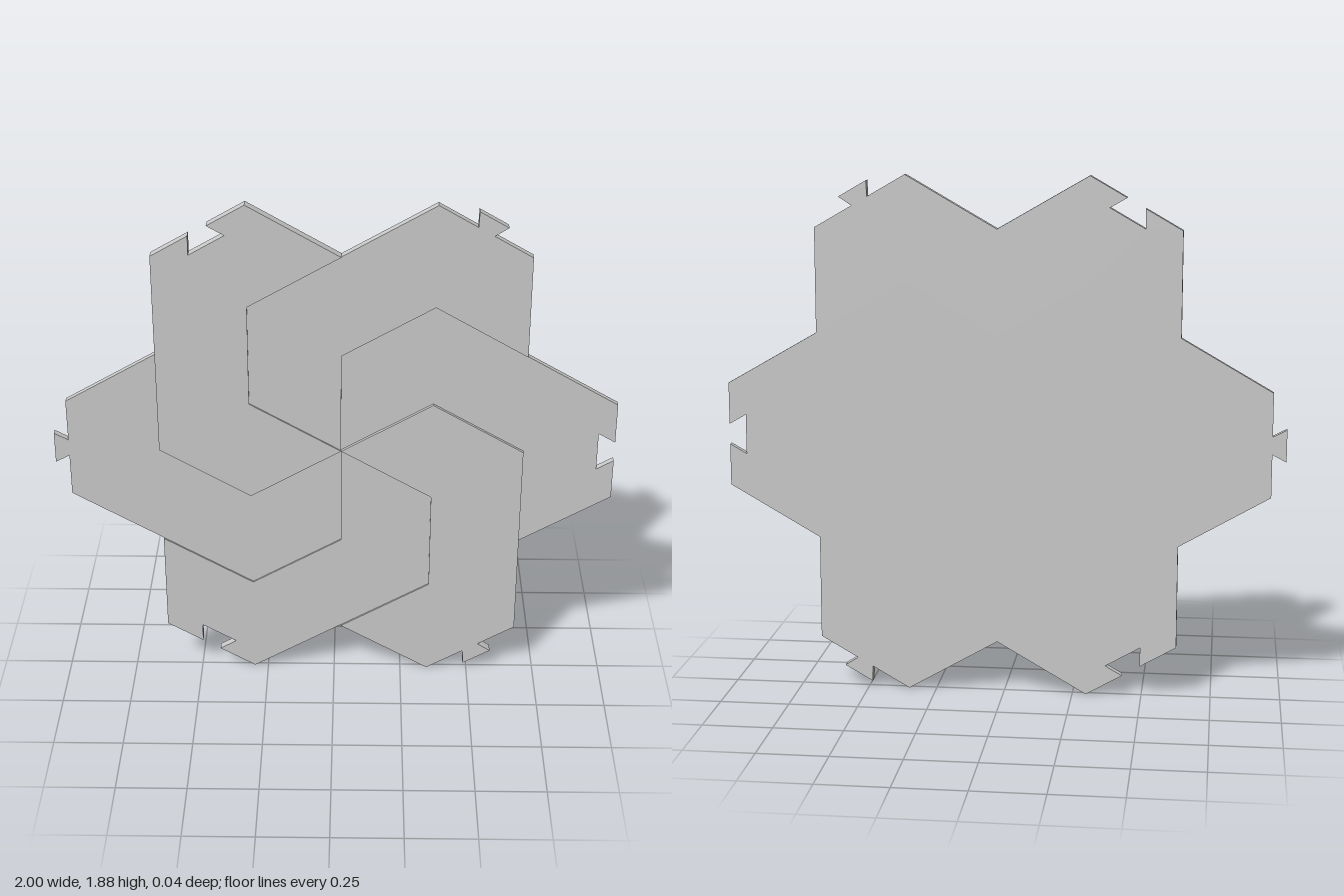
import * as THREE from 'three';

const S = 0.375;                       // hexagon side
const U = S * Math.sqrt(3) / 2;        // half hexagon width
const BACK = -0.019;                   // z of the flat back

// Bent arm whose outer end faces +x, ending in a dovetail socket or tab
function armShape(isTab) {
  const end = 3 * U;
  const [neck, wide, reach] = isTab ? [0.032, 0.058, 0.05] : [0.037, 0.072, -0.0605];
  const points = [
    [0, 0], [U, S / 2], [2 * U, 0], [2 * U, -S], [end, -S / 2],
    [end, -neck], [end + reach, -wide], [end + reach, wide], [end, neck],
    [end, S / 2], [U, 1.5 * S], [0, S],
  ];
  return new THREE.Shape(points.map(([x, y]) => new THREE.Vector2(x, y)));
}

export function createModel() {
  const model = new THREE.Group();
  model.name = 'interlockingTile';
  const material = new THREE.MeshStandardMaterial({ color: 0xcccccc, flatShading: true });
  const thickness = [0.025, 0.0315, 0.038];   // low, middle, high steps
  const names = ['rightArm', 'upperRightArm', 'upperLeftArm', 'leftArm', 'lowerLeftArm', 'lowerRightArm'];

  // Six arms swirl round the centre, rising in steps twice per turn
  names.forEach((name, i) => {
    const geometry = new THREE.ExtrudeGeometry(armShape(i % 2 === 1), {
      depth: thickness[i % 3], bevelEnabled: false,
    });
    const arm = new THREE.Mesh(geometry, material);
    arm.name = name;
    arm.rotation.z = i * Math.PI / 3;
    arm.position.set(0.025, 2.5 * S, BACK);
    model.add(arm);
  });
  return model;
}
